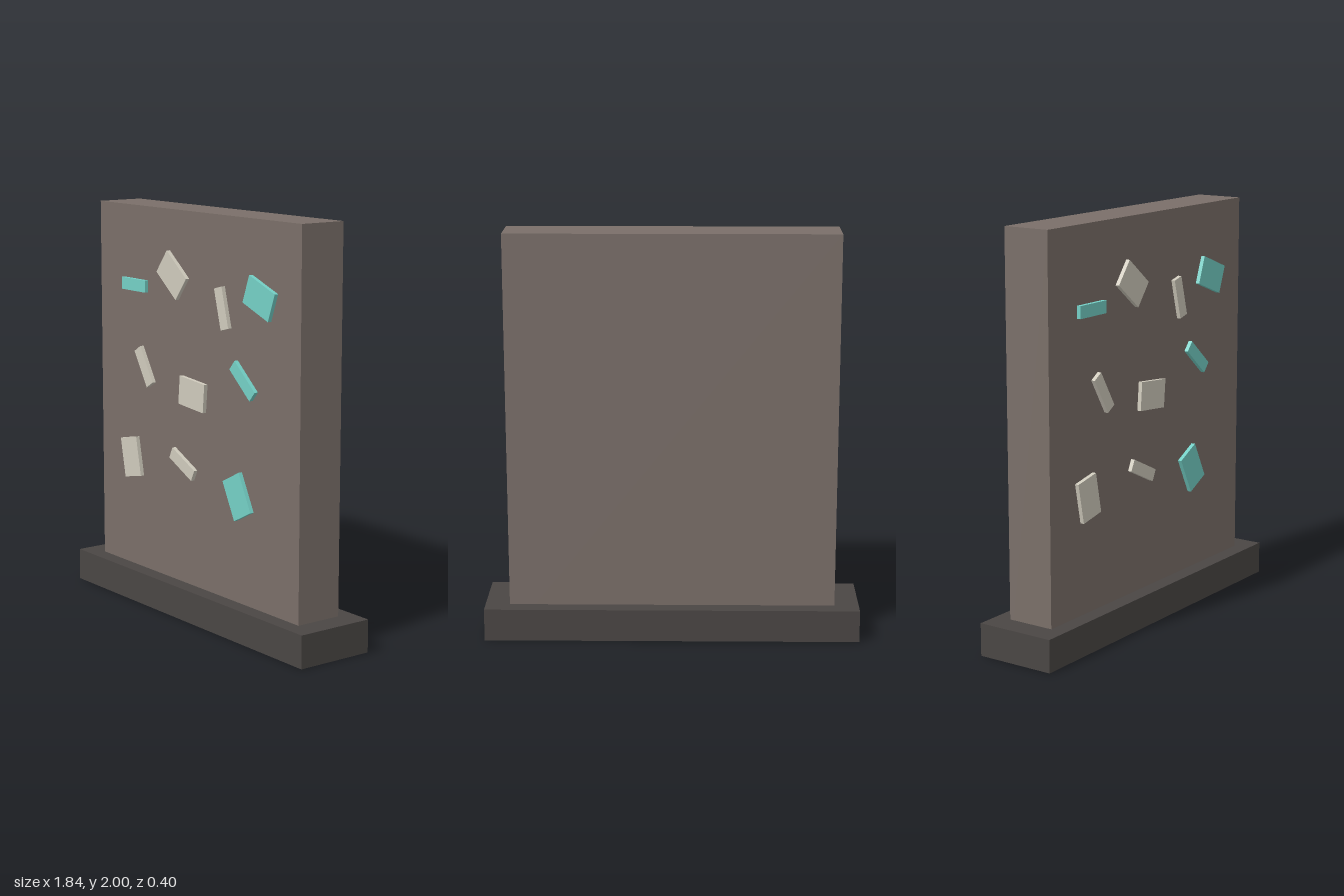
import * as THREE from 'three';

const wallMat = new THREE.MeshStandardMaterial({ name: 'taupe stone', color: 0x7a6f69 });
const baseMat = new THREE.MeshStandardMaterial({ name: 'dark stone', color: 0x4a4644 });
const creamMat = new THREE.MeshStandardMaterial({ name: 'cream', color: 0xcfcabc });
const tealMat = new THREE.MeshStandardMaterial({ name: 'teal', color: 0x74d0c6 });

const WALL = { w: 1.6, h: 2, d: 0.24 };
const BASE = { w: 1.84, h: 0.16, d: 0.4 };

function rectPoints(w, d) {
  return [[-w, -d], [w, -d], [w, d], [-w, d]].map(([x, y]) => new THREE.Vector2(x / 2, y / 2));
}

export function createModel() {
  const model = new THREE.Group();
  model.name = 'wallPanel';

  const add = (name, geometry, material, x, y, z) => {
    const mesh = new THREE.Mesh(geometry, material);
    mesh.name = name;
    mesh.position.set(x, y, z);
    model.add(mesh);
    return mesh;
  };

  // Upright slab, running down through the plinth to the ground
  add('slab', new THREE.BoxGeometry(WALL.w, WALL.h, WALL.d), wallMat, 0, WALL.h / 2, 0);

  // Plinth with a slot that the slab stands in
  const outline = new THREE.Shape(rectPoints(BASE.w, BASE.d));
  outline.holes.push(new THREE.Path(rectPoints(WALL.w, WALL.d)));
  const plinth = new THREE.ExtrudeGeometry(outline, { depth: BASE.h, bevelEnabled: false });
  plinth.rotateX(-Math.PI / 2);
  add('plinth', plinth, baseMat, 0, 0, 0);

  // Tilted notes on the front: x, y, height, tilt in degrees, material
  const card = 0.14, strip = 0.06, thick = 0.02;
  const notes = [
    [-0.485, 1.605, strip, 0, tealMat],
    [-0.163, 1.683, card, -38, creamMat],
    [0.237, 1.565, strip, -75, creamMat],
    [0.518, 1.642, card, -20.5, tealMat],
    [-0.402, 1.203, strip, -58.5, creamMat],
    [-0.001, 1.122, card, -5, creamMat],
    [0.397, 1.244, strip, -40.5, tealMat],
    [-0.521, 0.723, card, -78.5, creamMat],
    [-0.081, 0.763, strip, -25.5, creamMat],
    [0.357, 0.683, card, -63, tealMat],
  ];
  notes.forEach(([x, y, h, tilt, material], i) => {
    const name = (h === card ? 'noteCard' : 'noteStrip') + (i + 1);
    const note = add(name, new THREE.BoxGeometry(0.2, h, thick), material, x, y, (WALL.d + thick) / 2);
    note.rotation.z = THREE.MathUtils.degToRad(tilt);
  });

  return model;
}
